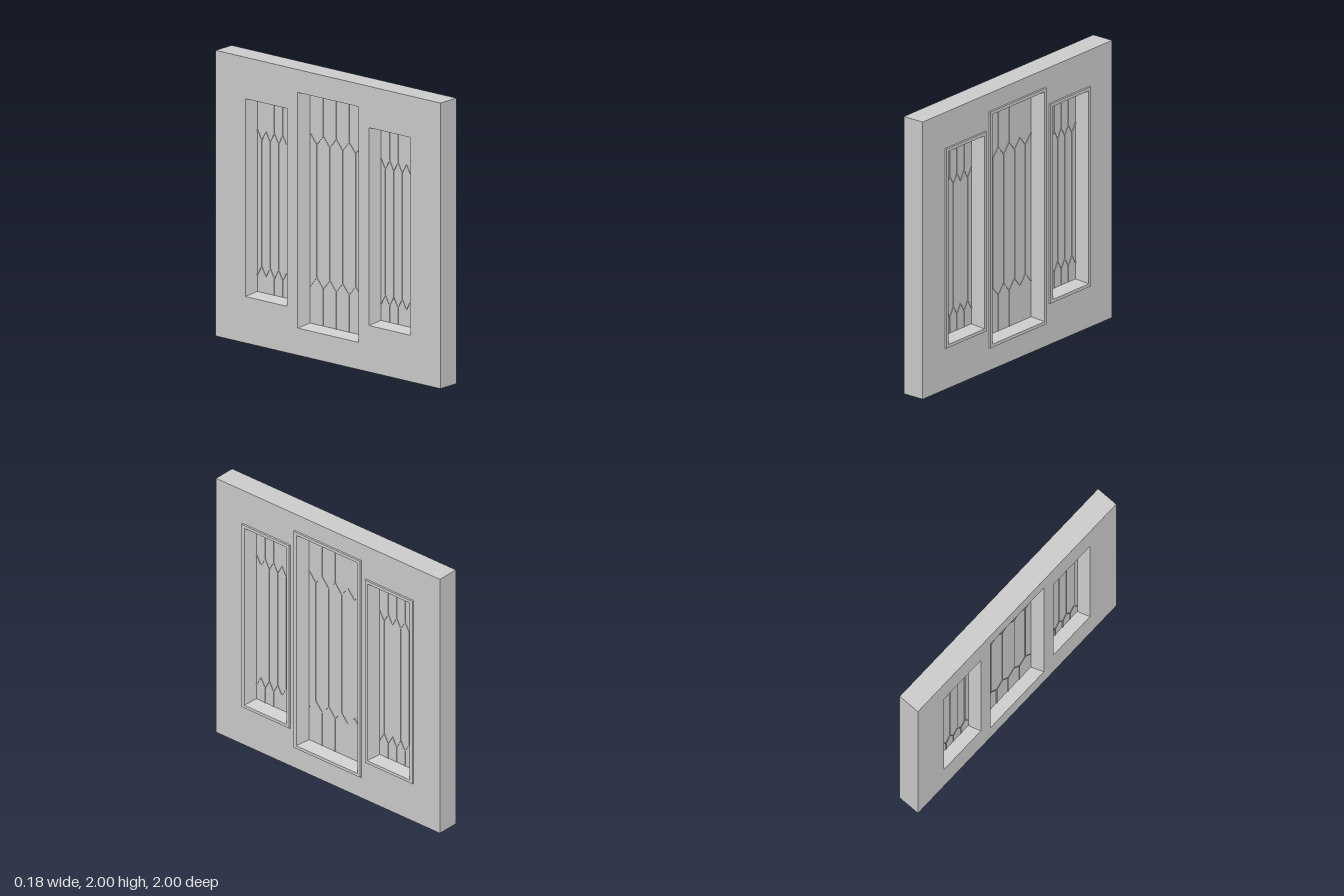
import * as THREE from 'three';

const WALL_BACK = -0.09, WALL_FRONT = 0.075, PANE_X = -0.002;

// openings: centre z, bottom, top, half width, jamb inset, heights of the lead zigzags
const WINDOWS = [
  { name: 'centreWindow', z: 0, y0: 0.19, y1: 1.84, half: 0.27, inset: 0.04, bands: [0.51, 1.51] },
  { name: 'frontWindow', z: 0.55, y0: 0.325, y1: 1.71, half: 0.185, inset: 0.035, bands: [0.5, 1.45] },
  { name: 'backWindow', z: -0.55, y0: 0.325, y1: 1.71, half: 0.185, inset: 0.035, bands: [0.5, 1.45] },
];

const material = new THREE.MeshStandardMaterial({ color: 0xcccccc });
const flat = new THREE.MeshStandardMaterial({ color: 0xcccccc, flatShading: true });

function addMesh(parent, name, geometry, mat = material) {
  const mesh = new THREE.Mesh(geometry, mat);
  mesh.name = name;
  parent.add(mesh);
  return mesh;
}

// sweeps a profile of [x, inset in z, inset in y] around a rectangular opening
function rectangularSweep({ half, y0, y1 }, profile) {
  const rings = profile.map(([x, iz, iy]) => [
    [x, y0 + iy, half - iz], [x, y0 + iy, -half + iz],
    [x, y1 - iy, -half + iz], [x, y1 - iy, half - iz],
  ]);
  const points = [];
  for (let i = 0; i < rings.length - 1; i++) {
    for (let k = 0; k < 4; k++) {
      const n = (k + 1) % 4;
      const a = rings[i][k], b = rings[i][n], c = rings[i + 1][n], d = rings[i + 1][k];
      points.push(...a, ...b, ...c, ...a, ...c, ...d);
    }
  }
  const geometry = new THREE.BufferGeometry();
  geometry.setAttribute('position', new THREE.Float32BufferAttribute(points, 3));
  geometry.computeVertexNormals();
  return geometry;
}

// a thin lead strip between two points in the plane of the glass
function addLead(parent, z0, y0, z1, y1) {
  const length = Math.hypot(z1 - z0, y1 - y0);
  const strip = addMesh(parent, 'leadStrip', new THREE.BoxGeometry(0.018, length, 0.007));
  strip.position.set(PANE_X, (y0 + y1) / 2, (z0 + z1) / 2);
  strip.rotation.x = Math.atan2(z1 - z0, y1 - y0);
}

function createWindow(spec) {
  const group = new THREE.Group();
  group.name = spec.name;
  group.position.z = spec.z;
  const { y0, y1, half, inset, bands } = spec;
  const insetY = 0.025;

  // raised trim on the front and jambs splayed to the glass from both sides
  addMesh(group, 'trimAndJamb', rectangularSweep(spec, [
    [WALL_FRONT, -0.03, -0.03], [0.085, -0.027, -0.027], [0.085, -0.004, -0.004],
    [0.078, 0, 0], [0.006, inset, insetY], [-0.01, inset, insetY], [WALL_BACK, 0, 0],
  ]), flat);

  // glass
  const w = half - inset, bottom = y0 + insetY, top = y1 - insetY;
  const pane = addMesh(group, 'pane', new THREE.BoxGeometry(0.01, top - bottom, 2 * w));
  pane.position.set(PANE_X, (bottom + top) / 2, 0);

  // leading: staggered uprights joined by zigzags into long hexagons
  const leads = new THREE.Group();
  leads.name = 'leading';
  group.add(leads);
  const step = w / 4, rise = 0.035;
  for (let i = -4; i <= 4; i++) {
    const z = i * step, outer = i % 2 === 0;
    if (Math.abs(i) < 4) {
      if (outer) {
        addLead(leads, z, bottom, z, bands[0] - rise);
        addLead(leads, z, bands[1] + rise, z, top);
      } else {
        addLead(leads, z, bands[0] + rise, z, bands[1] - rise);
      }
    }
    if (i < 4) {
      const sign = outer ? 1 : -1;
      addLead(leads, z, bands[0] - sign * rise, z + step, bands[0] + sign * rise);
      addLead(leads, z, bands[1] + sign * rise, z + step, bands[1] - sign * rise);
    }
  }
  return group;
}

export function createModel() {
  const model = new THREE.Group();
  model.name = 'wallWithWindows';

  // wall slab with three openings
  const outline = new THREE.Shape([[-1, 0], [1, 0], [1, 2], [-1, 2]].map(p => new THREE.Vector2(...p)));
  for (const { z, y0, y1, half } of WINDOWS) {
    const a = -z - half, b = -z + half;
    outline.holes.push(new THREE.Path([[a, y0], [a, y1], [b, y1], [b, y0]].map(p => new THREE.Vector2(...p))));
  }
  const slab = new THREE.ExtrudeGeometry(outline, { depth: WALL_FRONT - WALL_BACK, bevelEnabled: false });
  slab.rotateY(Math.PI / 2).translate(WALL_BACK, 0, 0);
  addMesh(model, 'wall', slab);

  for (const spec of WINDOWS) model.add(createWindow(spec));
  return model;
}
